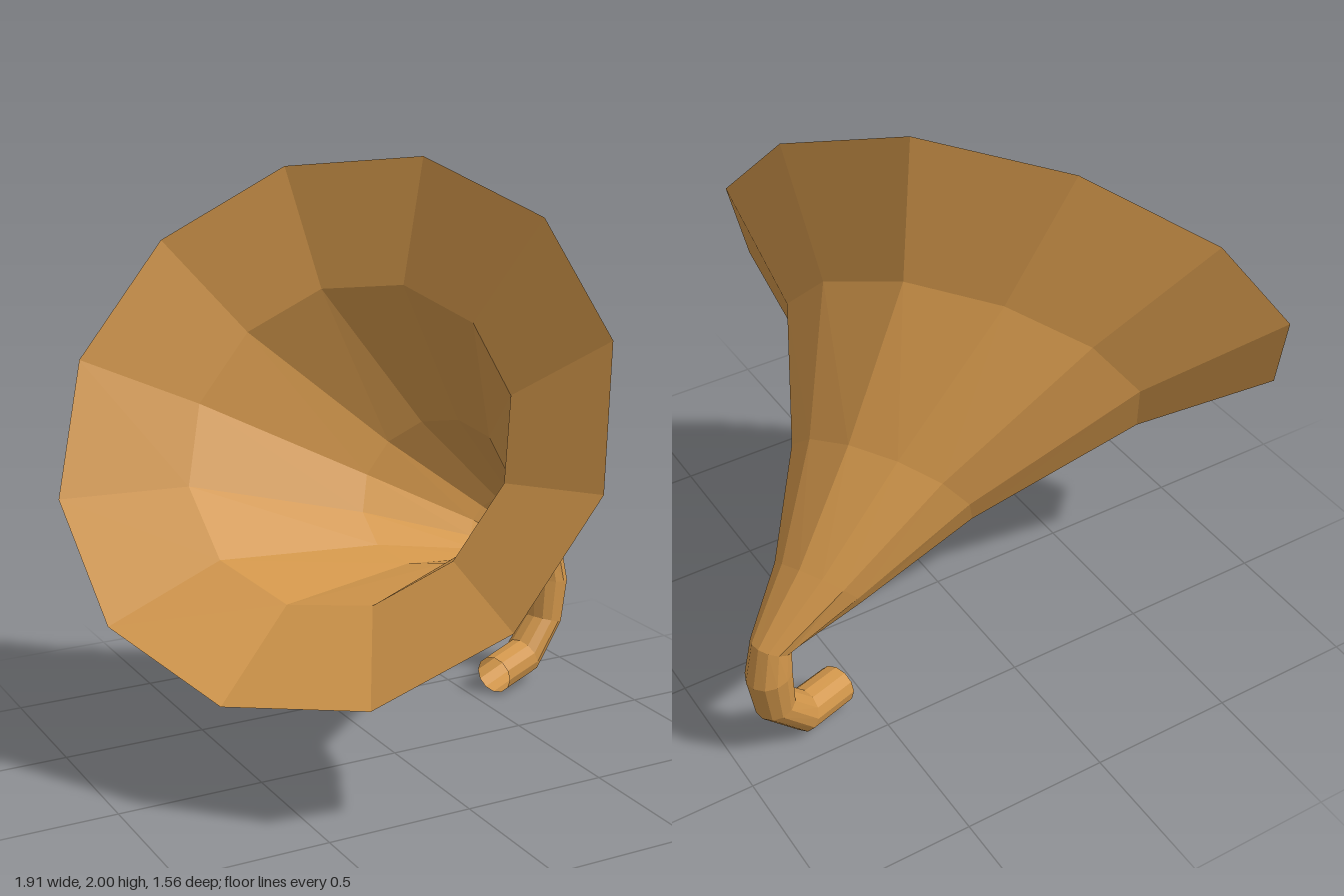
import * as THREE from 'three';

const SIDES = 12;
// Frame of the mouth: two spokes of the rim and the axis pointing into the horn
const AXIS = new THREE.Vector3(0.657, -0.528, -0.535).normalize();
const SPOKE = new THREE.Vector3(0.146, 0.787, -0.597);

// Each station: centre, normal, radius. The frame is carried along without twisting.
function makeRings(stations) {
  const normal = AXIS.clone();
  const u = SPOKE.clone().addScaledVector(AXIS, -SPOKE.dot(AXIS)).normalize();
  const turn = new THREE.Quaternion();
  return stations.map(([centre, direction, radius]) => {
    const next = new THREE.Vector3(...direction).normalize();
    u.applyQuaternion(turn.setFromUnitVectors(normal, next)).normalize();
    normal.copy(next);
    const v = new THREE.Vector3().crossVectors(normal, u);
    const ring = [];
    for (let k = 0; k < SIDES; k++) {
      const angle = (k / SIDES) * Math.PI * 2;
      ring.push(new THREE.Vector3(...centre)
        .addScaledVector(u, Math.cos(angle) * radius)
        .addScaledVector(v, Math.sin(angle) * radius));
    }
    return ring;
  });
}

// Joins consecutive rings with faces; inward flips them to face the axis
function skin(name, rings, material, inward = false) {
  const index = [];
  for (let i = 0; i < rings.length - 1; i++) {
    for (let k = 0; k < SIDES; k++) {
      const a = i * SIDES + k, b = i * SIDES + (k + 1) % SIDES;
      const c = a + SIDES, d = b + SIDES;
      if (inward) index.push(a, c, b, b, c, d);
      else index.push(a, b, c, b, d, c);
    }
  }
  const geometry = new THREE.BufferGeometry().setFromPoints(rings.flat());
  geometry.setIndex(index);
  geometry.computeVertexNormals();
  const mesh = new THREE.Mesh(geometry, material);
  mesh.name = name;
  return mesh;
}

export function createModel() {
  const group = new THREE.Group();
  group.name = 'horn';
  const brass = new THREE.MeshStandardMaterial({
    color: 0xd0954a, flatShading: true, side: THREE.DoubleSide,
  });

  const axis = AXIS.toArray();
  const rim = [[-0.253, 1.197, 0], axis, 0.957];
  const throat = [[0.86, 0.483, -0.41], [0.42, -0.9, -0.1], 0.068];

  // Flared bell followed by the curved neck
  const outer = makeRings([
    rim,
    [[-0.02, 1.045, -0.125], axis, 0.6],
    [[0.36, 0.81, -0.25], [0.69, -0.53, -0.47], 0.31],
    [[0.66, 0.61, -0.36], [0.7, -0.6, -0.38], 0.15],
    throat,
    [[0.878, 0.38, -0.417], [-0.15, -0.98, 0], 0.077],
    [[0.858, 0.225, -0.405], [-0.28, -0.95, 0.08], 0.068],
    [[0.75, 0.1, -0.375], [-0.87, -0.35, 0.3], 0.072],
    [[0.585, 0.075, -0.31], [-0.9, -0.1, 0.42], 0.07],
  ]);
  group.add(skin('bellOutside', outer.slice(0, 5), brass));
  group.add(skin('neck', outer.slice(4), brass));

  // Inner wall of the bell, running from the rim down to the throat
  const inner = makeRings([
    rim,
    [[-0.127, 1.097, -0.1], axis, 0.57],
    [[0.28, 0.84, -0.235], [0.69, -0.53, -0.47], 0.27],
    [[0.63, 0.63, -0.35], [0.7, -0.6, -0.38], 0.12],
    throat,
  ]);
  group.add(skin('bellInside', inner, brass, true));

  return group;
}
